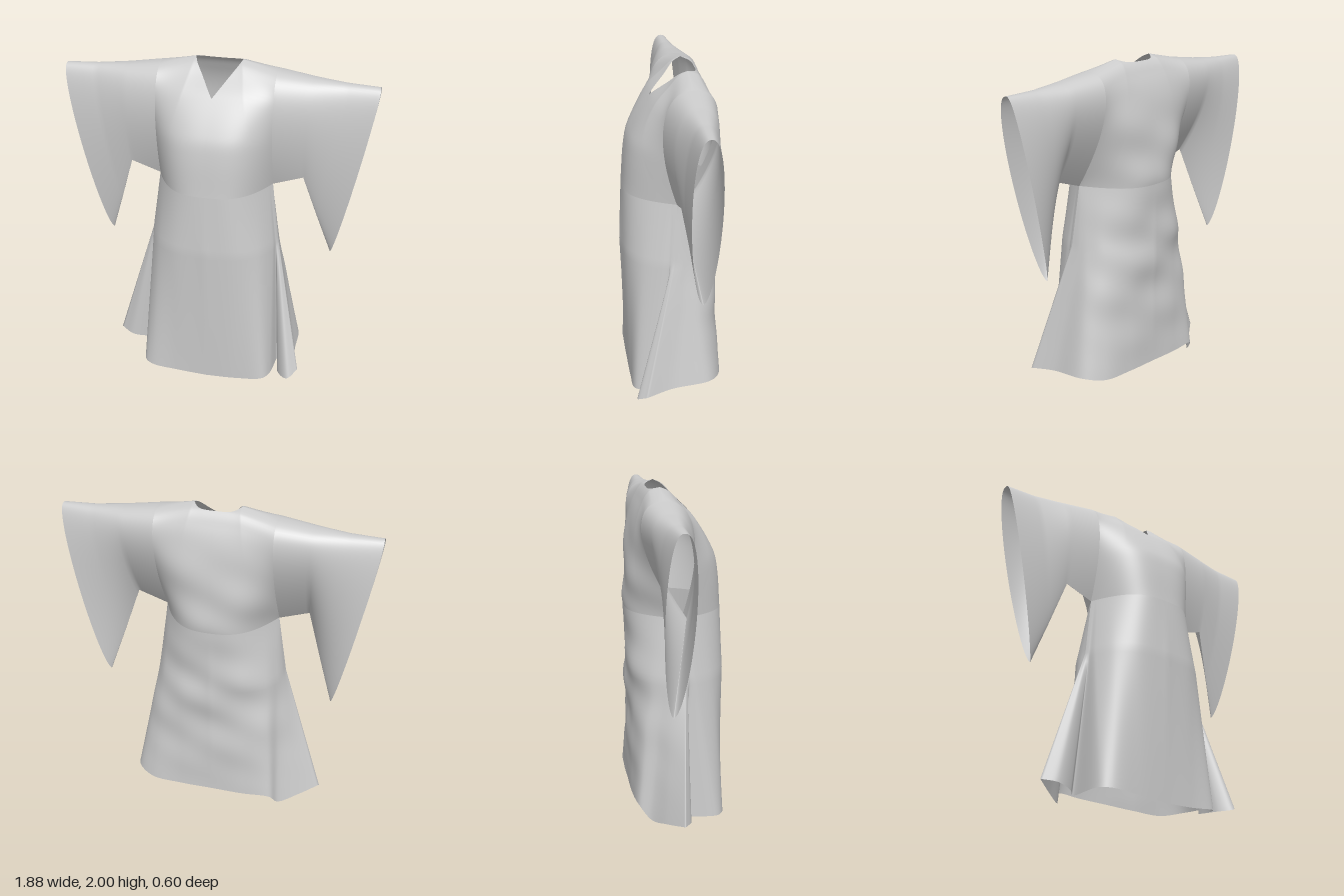
import * as THREE from 'three';
import { mergeGeometries, mergeVertices } from 'three/addons/utils/BufferGeometryUtils.js';

const lerp = THREE.MathUtils.lerp;
const ARM_X = 0.35, ARM_Y = 1.27, SLIT_X = 0.397, SLIT_Y = 0.9;

// Grid surface from fn(u, v) -> [x, y, z]; side = -1 mirrors it in x
function sheet(nu, nv, fn, side = 1, flip = false) {
  const pos = [], idx = [];
  for (let j = 0; j <= nv; j++) for (let i = 0; i <= nu; i++) {
    const [x, y, z] = fn(i / nu, j / nv);
    pos.push(x * side, y, z);
  }
  for (let j = 0; j < nv; j++) for (let i = 0; i < nu; i++) {
    const a = j * (nu + 1) + i, b = a + 1, c = a + nu + 1, d = c + 1;
    if (flip !== (side < 0)) idx.push(a, c, b, b, c, d);
    else idx.push(a, b, c, b, d, c);
  }
  const g = new THREE.BufferGeometry();
  g.setAttribute('position', new THREE.Float32BufferAttribute(pos, 3));
  g.setIndex(idx);
  return g;
}

function weld(list) {
  const g = mergeVertices(mergeGeometries(list), 1e-4);
  g.computeVertexNormals();
  return g;
}

// Smooth depth profile through [y, z] points
function profile(points) {
  return (y) => {
    let i = 0;
    while (i < points.length - 2 && y > points[i + 1][0]) i++;
    const [y0, z0] = points[i], [y1, z1] = points[i + 1];
    const m = (k) => {
      const a = points[Math.max(k - 1, 0)], b = points[Math.min(k + 1, points.length - 1)];
      return (b[1] - a[1]) / (b[0] - a[0]);
    };
    const h = y1 - y0, t = (y - y0) / h, t2 = t * t, t3 = t2 * t;
    return (2 * t3 - 3 * t2 + 1) * z0 + (t3 - 2 * t2 + t) * h * m(i)
      + (3 * t2 - 2 * t3) * z1 + (t3 - t2) * h * m(i + 1);
  };
}
const frontDepth = profile([[1.27, 0.285], [1.5, 0.265], [1.62, 0.235], [1.82, 0.115], [1.92, 0.015], [1.98, -0.045], [2, -0.09]]);
const backDepth = profile([[1.27, -0.28], [1.5, -0.285], [1.65, -0.27], [1.8, -0.235], [1.9, -0.2], [1.98, -0.15], [2, -0.09]]);
const shoulderY = (x) => 2 - 0.045 * Math.max(0, x - 0.14) / (ARM_X - 0.14);

// Sleeve rings: top and bottom points, swell to front and back, taper toward the bottom
const RINGS = [
  { top: [ARM_X, 1.955, -0.09], bottom: [ARM_X, ARM_Y, 0], front: 0.14, back: 0.16, taper: 1, bow: 0 },
  { top: [0.56, 1.925, -0.085], bottom: [0.53, 1.33, 0], front: 0.1, back: 0.135, taper: 1, bow: 0 },
  { top: [0.75, 1.907, -0.088], bottom: [0.615, 1.06, -0.05], front: 0.085, back: 0.1, taper: 0.8, bow: 0.01 },
  { top: [0.94, 1.9, -0.085], bottom: [0.7, 0.8, -0.1], front: 0.088, back: 0.08, taper: 0.6, bow: 0.022 },
];
function ringPoint(r, a) {
  const f = (1 - Math.cos(a)) / 2, s = Math.sin(a);
  const swell = (t) => Math.pow(t, r.taper) * Math.pow(1 - t, 0.4);
  const p = r.bottom.map((v, k) => lerp(v, r.top[k], f));
  p[0] += r.bow * Math.abs(s);
  p[2] += (s > 0 ? r.front : -r.back) * swell(f) / swell(r.taper / (r.taper + 0.4));
  return p;
}

// Skirt sections, each listed from the centre line to the side
const curve = (pts) => new THREE.CatmullRomCurve3(pts.map((p) => new THREE.Vector3(...p)));
const slitFront = curve([[0, SLIT_Y, 0.305], [0.2, SLIT_Y, 0.275], [0.31, SLIT_Y, 0.2], [0.375, SLIT_Y, 0.09],
  [0.385, SLIT_Y, 0.05], [0.39, SLIT_Y, 0.04], [0.394, SLIT_Y, 0.03], [SLIT_X, SLIT_Y, 0.02]]);
const slitBack = curve([[0, SLIT_Y, -0.285], [0.2, SLIT_Y, -0.255], [0.32, SLIT_Y, -0.18],
  [0.37, SLIT_Y, -0.1], [0.39, SLIT_Y, -0.04], [SLIT_X, SLIT_Y, 0.02]]);
const hems = {
  left: {
    front: curve([[0, 0, 0.27], [0.2, 0.01, 0.27], [0.36, 0.03, 0.26], [0.4, 0.04, 0.2],
      [0.42, 0.06, 0.07], [0.45, 0.05, 0.2], [0.52, 0.06, 0.265], [0.575, 0.1, 0.21]]),
    back: curve([[0, 0.12, -0.28], [0.2, 0.12, -0.28], [0.4, 0.12, -0.26],
      [0.51, 0.14, -0.18], [0.53, 0.12, 0.05], [0.575, 0.1, 0.21]]),
  },
  right: {
    front: curve([[0, 0, 0.27], [0.2, 0.01, 0.27], [0.36, 0.02, 0.26], [0.42, 0.025, 0.21],
      [0.42, 0.04, -0.04], [0.46, 0.05, 0], [0.56, 0.07, 0.03], [0.65, 0.085, -0.02]]),
    back: curve([[0, 0.12, -0.28], [0.2, 0.12, -0.28], [0.37, 0.115, -0.26],
      [0.42, 0.03, -0.19], [0.53, 0.05, -0.11], [0.65, 0.085, -0.02]]),
  },
};

// Soft slanting folds across the back, fading toward the sides
const folds = (x, y, u) => (1 - u * u) * (0.01 * Math.sin(13 * y + 7 * x) + 0.006 * Math.sin(23 * y - 9 * x));

// Chest and shoulders: from the centre line to the armhole, with a V neck in front
function upperPoint(u, v, back, side) {
  const a = Math.PI * v, f = (1 - Math.cos(a)) / 2;
  const topX = ARM_X * u, n = Math.min(1, topX / 0.14), sh = shoulderY(topX);
  const top = n < 1 ? (back ? 1.98 + 0.02 * Math.pow(n, 4) : lerp(1.82, 2, n)) : sh;
  // columns follow the skirt's spacing below and the neckline's above
  const w = lerp((back ? slitBack : slitFront).getPoint(u).x / SLIT_X, u, f);
  const x = ARM_X * w, y = lerp(ARM_Y, top, f);
  const yn = ARM_Y + (y - ARM_Y) * (2 - ARM_Y) / (sh - ARM_Y);
  const edge = ringPoint(RINGS[0], back ? -a : a)[2];
  let z = lerp((back ? backDepth : frontDepth)(yn), edge, Math.pow(w, 3));
  if (back) z += folds(x * side, y, u) * (1 - f);
  return [x, y, z];
}

// Skirt: hem up to the slit, then slit up to the armpit
function skirtPoint(u, v, back, side, hem) {
  const slit = (back ? slitBack : slitFront).getPoint(u);
  const split = 0.7;
  if (v > split) {
    const t = (v - split) / (1 - split), end = upperPoint(u, 0, back, side);
    const p = slit.toArray().map((c, k) => lerp(c, end[k], t));
    if (back) p[2] += folds(p[0] * side, p[1], u) * (1 - t);
    return p;
  }
  const t = v / split;
  const p = (back ? hem.back : hem.front).getPoint(u).lerp(slit, t).toArray();
  if (back) p[2] += folds(p[0] * side, p[1], u) * t;
  return p;
}

export function createModel() {
  const robe = new THREE.Group();
  robe.name = 'robe';
  const cloth = new THREE.MeshStandardMaterial({ color: 0xcccccc, side: THREE.DoubleSide });
  const add = (name, geometries) => {
    const mesh = new THREE.Mesh(weld(geometries), cloth);
    mesh.name = name;
    robe.add(mesh);
  };

  // Body: bodice and pleated skirt, front and back, both sides
  const body = [];
  for (const side of [1, -1]) {
    const hem = side > 0 ? hems.left : hems.right;
    for (const back of [false, true]) {
      body.push(sheet(60, 40, (u, v) => upperPoint(u, v, back, side), side, back));
      body.push(sheet(60, 40, (u, v) => skirtPoint(u, v, back, side, hem), side, back));
    }
  }
  add('body', body);

  // Sleeves: wide hanging tubes, open along the outer edge
  for (const side of [1, -1]) {
    const sleeve = sheet(30, 80, (u, v) => {
      const k = Math.min(2, Math.floor(u * 3 + 1e-6)), t = u * 3 - k, a = v * 2 * Math.PI;
      const p = ringPoint(RINGS[k], a), q = ringPoint(RINGS[k + 1], a);
      return p.map((c, i) => lerp(c, q[i], t));
    }, side);
    add(side > 0 ? 'leftSleeve' : 'rightSleeve', [sleeve]);
  }
  return robe;
}
